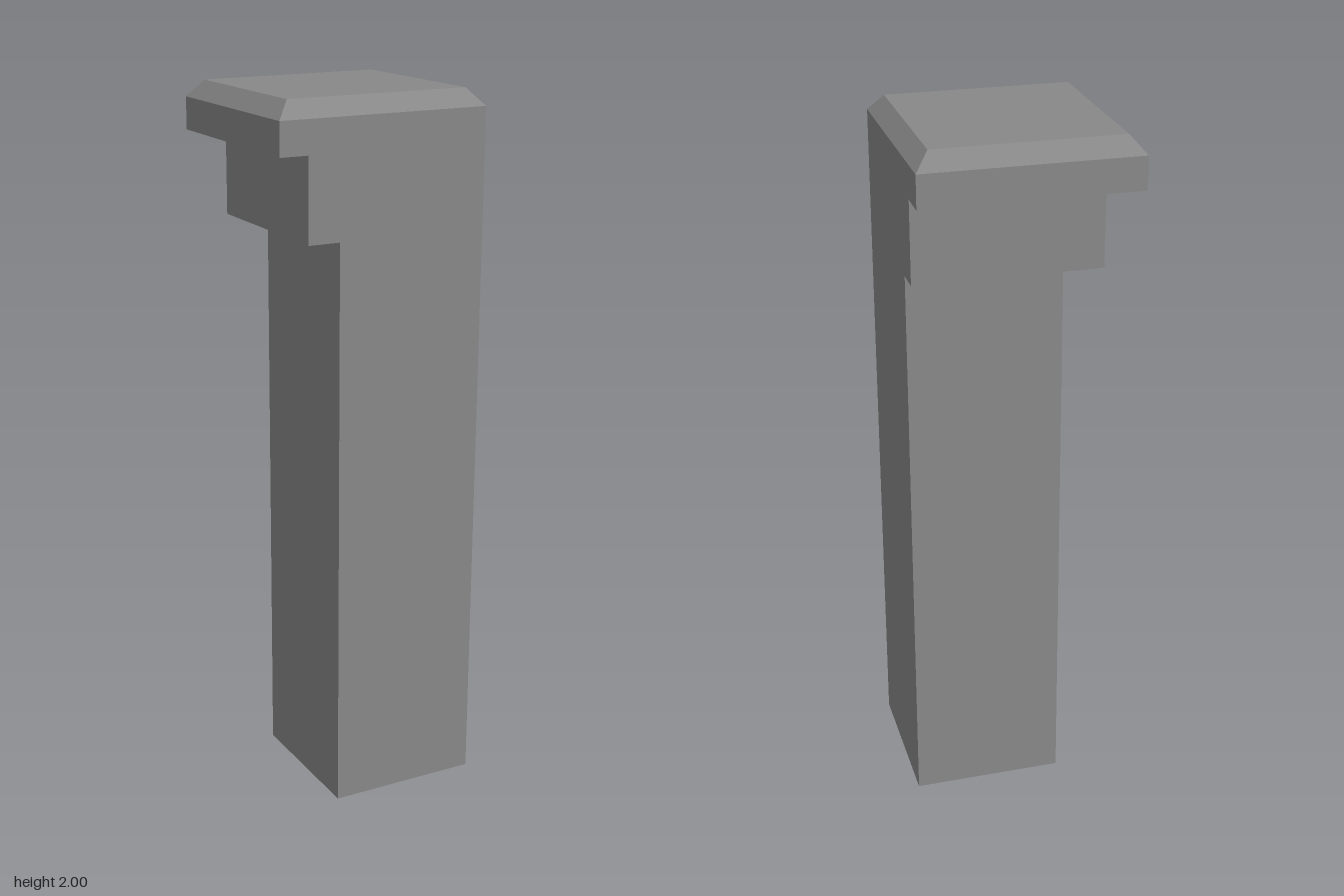
import * as THREE from 'three';

const FRONT = 0.3;   // x and z of the two flush outer faces
const INSET = 0.04;  // bevel of the crown

// The post leans and slopes very slightly
function lean(x, y, z) {
  return [x, y + 0.002 + 0.013 * z, z + 0.005 * (y - 1.95) - 0.003 * x];
}

// Block between heights y0 and y1, from the given back-right corner to the flush
// corner; inset narrows its top on all four sides
function tier(name, material, y0, y1, minX, minZ, inset = 0) {
  const geometry = new THREE.BoxGeometry(1, 1, 1);
  const p = geometry.attributes.position;
  for (let i = 0; i < p.count; i++) {
    const top = p.getY(i) > 0;
    const d = top ? inset : 0;
    const x = p.getX(i) > 0 ? FRONT - d : minX + d;
    const z = p.getZ(i) > 0 ? FRONT - 0.002 - d : minZ + d;
    p.setXYZ(i, ...lean(x, top ? y1 : y0, z));
  }
  geometry.computeVertexNormals();
  const mesh = new THREE.Mesh(geometry, material);
  mesh.name = name;
  return mesh;
}

export function createModel() {
  const model = new THREE.Group();
  model.name = 'cornerPost';
  const stone = new THREE.MeshStandardMaterial({ color: 0x888888, flatShading: true });

  model.add(
    tier('shaft', stone, 0, 1.627, -0.13, -0.137),
    tier('collar', stone, 1.627, 1.857, -0.22, -0.212),
    tier('capSlab', stone, 1.857, 1.948, -0.3, -0.299),
    tier('capBevel', stone, 1.948, 1.995, -0.3, -0.299, INSET),
  );
  return model;
}
